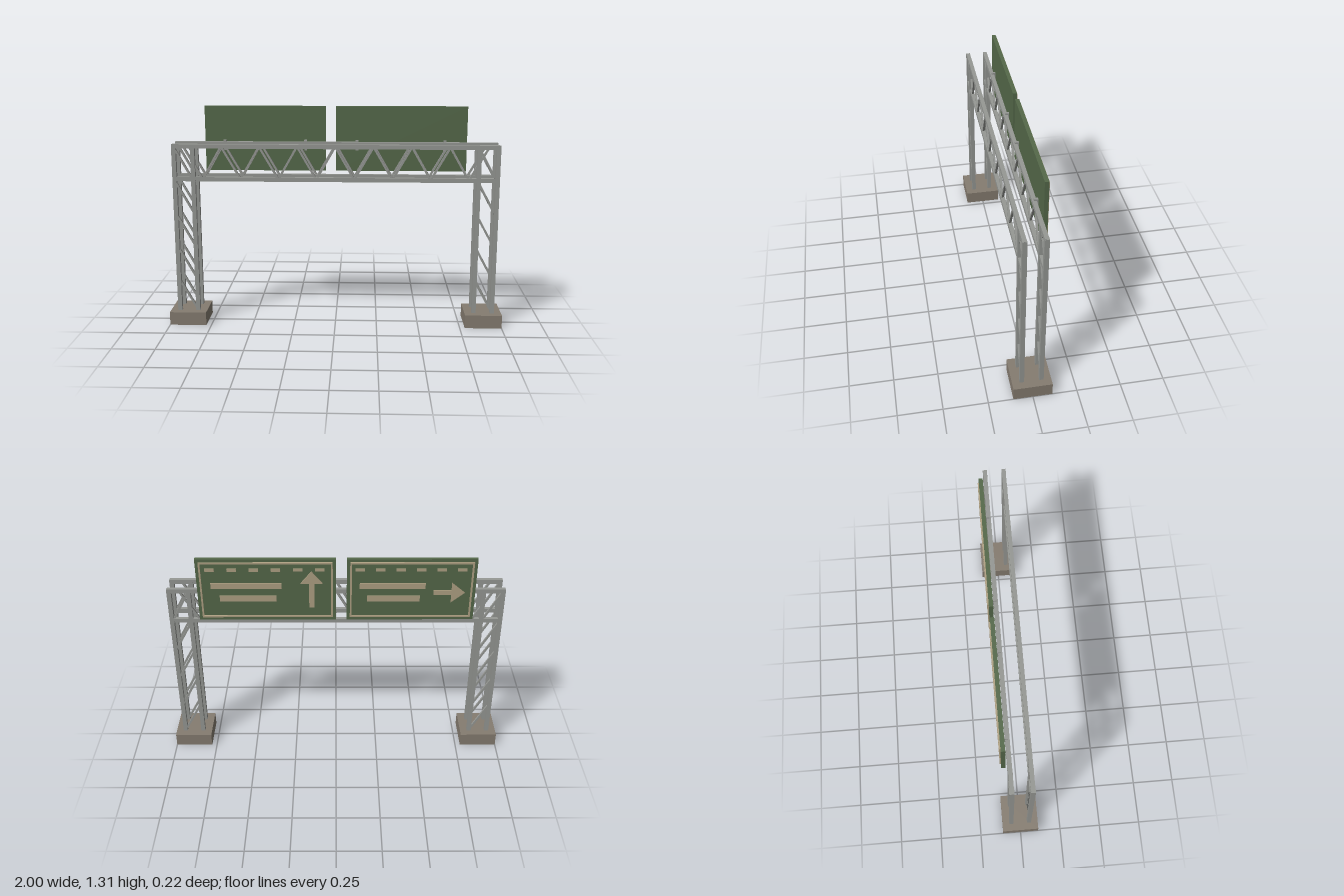
import * as THREE from 'three';

export function createModel() {
  const model = new THREE.Group();
  const mat = (name, color) => {
    const m = new THREE.MeshStandardMaterial({ color });
    m.name = name;
    return m;
  };
  const steel = mat('galvanised steel', 0x969894);
  const concrete = mat('concrete', 0x857c70);
  const green = mat('sign green', 0x55694a);
  const beige = mat('sign marking', 0xb0a284);

  const add = (name, geometry, material, parent = model) => {
    const mesh = new THREE.Mesh(geometry, material);
    mesh.name = name;
    parent.add(mesh);
    return mesh;
  };
  // Box given by its limits on each axis
  const box = (name, x0, x1, y0, y1, z0, z1, material, parent) => {
    const mesh = add(name, new THREE.BoxGeometry(x1 - x0, y1 - y0, z1 - z0), material, parent);
    mesh.position.set((x0 + x1) / 2, (y0 + y1) / 2, (z0 + z1) / 2);
    return mesh;
  };
  // Square bar between two points in a plane of constant z
  const strut = (name, xa, ya, xb, yb, z, t = 0.012) => {
    const mesh = add(name, new THREE.BoxGeometry(t, Math.hypot(xb - xa, yb - ya), t), steel);
    mesh.position.set((xa + xb) / 2, (ya + yb) / 2, z);
    mesh.rotation.z = -Math.atan2(xb - xa, yb - ya);
  };

  const h = 0.0125; // half width of the main tubes
  const yLow = 0.892, yTop = 1.086;

  // Footings and towers
  for (const s of [-1, 1]) {
    const cx = s * 0.89;
    box('footing', cx - 0.11, cx + 0.11, 0, 0.08, -0.11, 0.11, concrete);
    for (const z of [-0.055, 0.055]) {
      for (const dx of [-0.055, 0.055]) {
        box('towerLeg', cx + dx - h, cx + dx + h, 0.08, 1.097, z - h, z + h, steel);
      }
      for (let i = 0; i < 5; i++) {
        const y = 0.08 + i * 0.2;
        strut('towerBrace', cx - 0.055, y + 0.2, cx + 0.055, y, z);
      }
    }
  }

  // Horizontal trusses, front and back
  for (const z of [-0.055, 0.055]) {
    for (const y of [yLow, yTop]) {
      box('trussChord', -0.955, 0.955, y - h, y + h, z - h + 0.001, z + h - 0.001, steel);
    }
    const step = 1.78 / 16;
    for (let i = 0; i < 16; i++) {
      const x = -0.89 + i * step;
      const [ya, yb] = i % 2 ? [yLow, yTop] : [yTop, yLow];
      strut('trussDiagonal', x, ya, x + step, yb, z);
    }
  }

  // Brackets holding the signs to the rear truss
  for (const x of [-0.66, -0.18, 0.125, 0.645]) {
    box('bracketArm', x - 0.008, x + 0.008, 1.09, 1.108, -0.076, -0.052, steel);
    box('bracketPlate', x - 0.008, x + 0.008, 1.045, 1.108, -0.076, -0.067, steel);
  }

  // Flat plate cut from a shape
  const plate = (name, shape, parent) =>
    add(name, new THREE.ExtrudeGeometry(shape, { depth: 0.007, bevelEnabled: false }), beige, parent);
  const polygon = (pts) => new THREE.Shape(pts.map(([x, y]) => new THREE.Vector2(x, y)));
  const rect = (x0, y0, x1, y1) => polygon([[x0, y0], [x1, y0], [x1, y1], [x0, y1]]);

  // Sign panel facing -z; markings use a local frame with u right and v up
  const makeSign = (name, xMin, xMax, arrowUp) => {
    const w = xMax - xMin, y0 = 0.922, y1 = 1.307, H = y1 - y0;
    const sign = new THREE.Group();
    sign.name = name;
    model.add(sign);
    box('signPanel', xMin, xMax, y0, y1, -0.098, -0.075, green, sign);

    const face = new THREE.Group();
    face.name = 'signMarkings';
    face.position.set(xMax, y0, -0.0975);
    face.rotation.y = Math.PI;
    sign.add(face);

    // Border line
    const a = 0.018, b = 0.028;
    const border = rect(a, a, w - a, H - a);
    border.holes.push(rect(b, b, w - b, H - b));
    plate('border', border, face);

    // Row of dashes
    for (let i = 0; i < 6; i++) {
      const u = (0.1 + i * 0.157) * w;
      plate('dash', rect(u - 0.026, H * 0.83 - 0.008, u + 0.026, H * 0.83 + 0.008), face);
    }
    // Two bars
    plate('longBar', rect(0.1 * w, H * 0.57 - 0.018, 0.61 * w, H * 0.57 + 0.018), face);
    plate('shortBar', rect(0.16 * w, H * 0.36 - 0.018, 0.57 * w, H * 0.36 + 0.018), face);

    // Arrow, drawn pointing up from its tail
    const L = arrowUp ? 0.23 : 0.175, head = 0.075;
    const arrow = plate('arrow', polygon([
      [-0.015, 0], [0.015, 0], [0.015, L - head], [0.062, L - head],
      [0, L], [-0.062, L - head], [-0.015, L - head],
    ]), face);
    if (arrowUp) {
      arrow.position.set(0.825 * w, H * 0.21, 0);
    } else {
      arrow.position.set(0.675 * w, H * 0.46, 0);
      arrow.rotation.z = -Math.PI / 2;
    }
  };
  makeSign('leftSign', 0, 0.776, true);
  makeSign('rightSign', -0.779, -0.06, false);

  return model;
}
